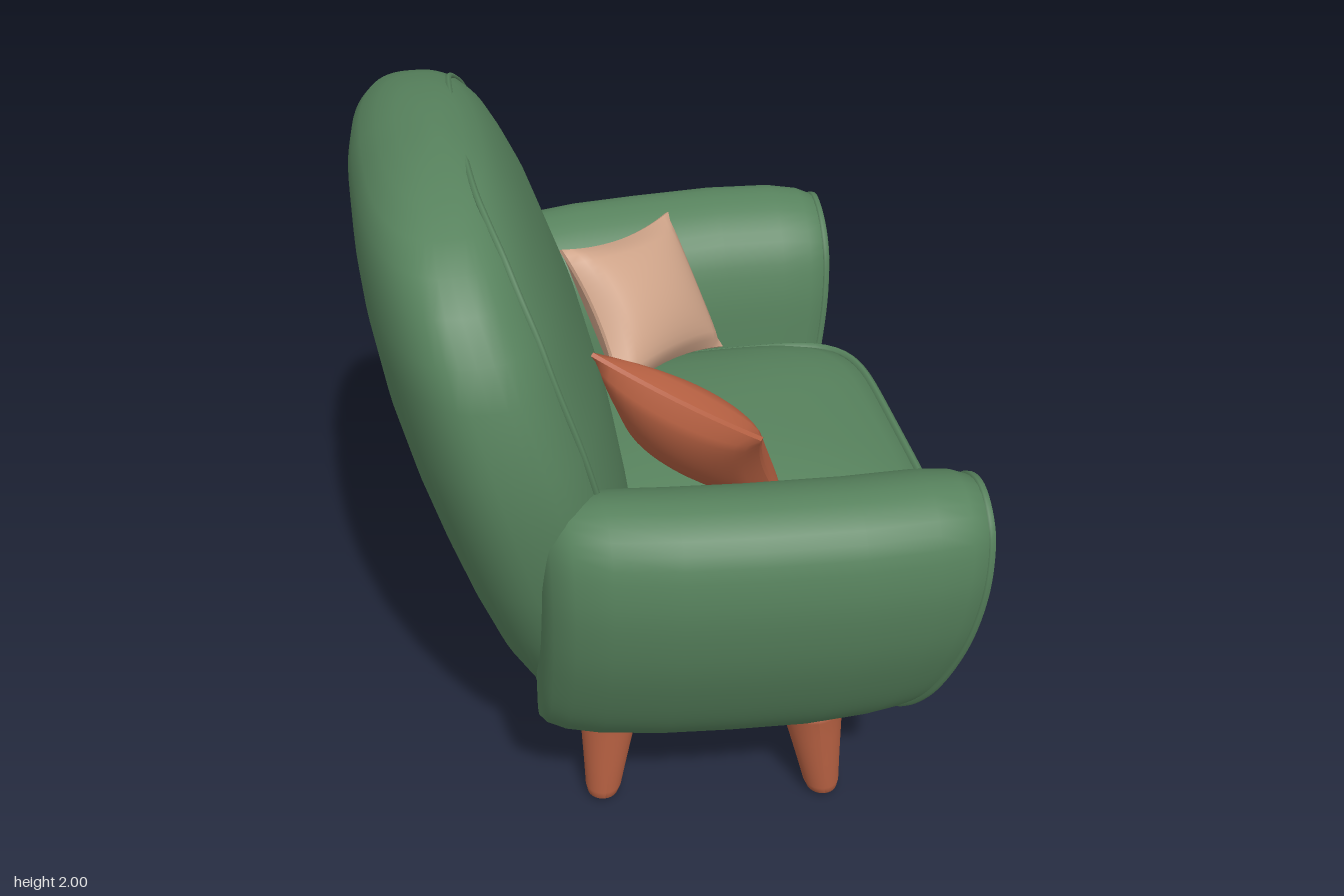
import * as THREE from 'three';

const V = (x, y, z) => new THREE.Vector3(x, y, z);
const paint = (name, color) => {
  const m = new THREE.MeshStandardMaterial({ color });
  m.name = name;
  return m;
};

// Smooth closed skin through rings of points, capped at both ends
function loft(rings) {
  const n = rings[0].length, pts = rings.flat(), idx = [];
  const cap = (ring) => pts.push(ring.reduce((s, p) => s.add(p), V(0, 0, 0)).divideScalar(n)) - 1;
  const last = rings.length - 1, a = cap(rings[0]), b = cap(rings[last]);
  for (let j = 0; j < n; j++) {
    const k = (j + 1) % n;
    for (let i = 0; i < last; i++) {
      const p = i * n + j, q = i * n + k;
      idx.push(p, p + n, q, q, p + n, q + n);
    }
    idx.push(a, j, k, b, last * n + k, last * n + j);
  }
  // Turn the faces outward whichever way the rings run
  let volume = 0;
  for (let i = 0; i < idx.length; i += 3) {
    volume += pts[idx[i]].dot(V(0, 0, 0).crossVectors(pts[idx[i + 1]], pts[idx[i + 2]]));
  }
  if (volume < 0) idx.reverse();
  const g = new THREE.BufferGeometry().setFromPoints(pts);
  g.setIndex(idx);
  g.computeVertexNormals();
  return g;
}

// Horizontal rounded ring spanning x0..x1 and -hz..hz
function ring(y, x0, x1, hz, power, n = 64) {
  const soft = (v) => Math.sign(v) * Math.abs(v) ** (2 / power);
  return Array.from({ length: n }, (_, i) => {
    const t = (i / n) * Math.PI * 2;
    return V((x0 + x1) / 2 + (x1 - x0) / 2 * soft(Math.cos(t)), y, hz * soft(Math.sin(t)));
  });
}

const tube = (pts, radius, closed) =>
  new THREE.TubeGeometry(new THREE.CatmullRomCurve3(pts, closed), 120, radius, 6, closed);

export function createModel() {
  const group = new THREE.Group();
  const green = paint('green fabric', 0x57825d);
  const rust = paint('terracotta', 0xb45f41);
  const tan = paint('tan fabric', 0xd0a58a);
  const add = (name, geometry, material) => {
    const mesh = new THREE.Mesh(geometry, material);
    mesh.name = name;
    group.add(mesh);
  };

  // Leaning rounded backrest: y, rear x, front x, half width
  const backRings = [
    [0.33, -0.38, 0.0, 0.38], [0.36, -0.43, 0.0, 0.43], [0.45, -0.48, -0.02, 0.52],
    [0.6, -0.54, -0.05, 0.62], [0.8, -0.605, -0.09, 0.71], [1.0, -0.665, -0.12, 0.77],
    [1.2, -0.72, -0.155, 0.805], [1.4, -0.765, -0.205, 0.82], [1.6, -0.795, -0.275, 0.79],
    [1.7, -0.803, -0.31, 0.75], [1.8, -0.803, -0.355, 0.685], [1.87, -0.79, -0.39, 0.61],
    [1.92, -0.765, -0.425, 0.52], [1.96, -0.72, -0.46, 0.4], [1.985, -0.67, -0.505, 0.27],
    [1.998, -0.61, -0.55, 0.12],
  ].map(([y, x0, x1, hz]) => ring(y, x0, x1, hz, 2.6));
  add('backrest', loft(backRings), green);
  // Seam following the front edge of the backrest
  const rim = backRings.slice(4, 14);
  add('backrestSeam', tube([...rim.map((r) => r[10]), ...rim.map((r) => r[54]).reverse()], 0.009, false), green);

  // Seat base
  add('seatBase', loft([
    [0.305, -0.3, 0.42, 0.42], [0.315, -0.36, 0.54, 0.5], [0.35, -0.4, 0.62, 0.55],
    [0.42, -0.42, 0.67, 0.575], [0.5, -0.42, 0.692, 0.575], [0.55, -0.42, 0.688, 0.57],
    [0.58, -0.4, 0.66, 0.55], [0.59, -0.36, 0.6, 0.5],
  ].map(([y, x0, x1, hz]) => ring(y, x0, x1, hz, 7)), ), green);

  // Crowned seat cushion with piping
  add('seatCushion', loft([
    [0.595, -0.3, 0.68, 0.48], [0.605, -0.34, 0.735, 0.535], [0.64, -0.35, 0.757, 0.555],
    [0.75, -0.35, 0.768, 0.56], [0.84, -0.35, 0.76, 0.555], [0.88, -0.35, 0.735, 0.54],
    [0.915, -0.33, 0.68, 0.5], [0.95, -0.3, 0.59, 0.43], [0.98, -0.25, 0.47, 0.33],
    [1.0, -0.15, 0.33, 0.2], [1.005, -0.05, 0.2, 0.08],
  ].map(([y, x0, x1, hz]) => ring(y, x0, x1, hz, 6 - 3 * Math.max(0, (y - 0.85) / 0.16)))), green);
  add('cushionPipingTop', tube(ring(0.875, -0.35, 0.745, 0.545, 6), 0.014, true), green);
  add('cushionPipingBottom', tube(ring(0.62, -0.35, 0.75, 0.548, 6), 0.014, true), green);

  // Arms: one outline swept from back to front, inset toward the ends
  const outline = new THREE.CatmullRomCurve3([
    [0.52, 0.335], [0.64, 0.365], [0.8, 0.52], [0.92, 0.74], [0.98, 0.92], [1.0, 1.1], [0.965, 1.235],
    [0.86, 1.3], [0.74, 1.275], [0.645, 1.19], [0.595, 1.05], [0.57, 0.8], [0.54, 0.55],
  ].map(([z, y]) => V(0, y, z)), true).getSpacedPoints(64).slice(0, 64);
  const armRing = (side, x, inset, shift) => outline.map((p) => {
    const y = 0.83 + (p.y - 0.83) * (1 - inset / 0.48);
    const z = 0.77 + (p.z - 0.77) * (1 - inset / 0.22) + shift;
    const lean = 0.12 * Math.max(0, (1.2 - y) / 0.85) ** 2 * Math.max(0, x / 0.7);
    return V(x - lean, y, z * side);
  });
  for (const side of [1, -1]) {
    const name = side > 0 ? 'left' : 'right';
    add(name + 'Arm', loft([
      [-0.43, 0.12, -0.1], [-0.41, 0.06, -0.1], [-0.36, 0.025, -0.085], [-0.27, 0.005, -0.065],
      [-0.1, 0, -0.035], [0.1, 0, -0.015], [0.35, 0, 0], [0.54, 0.004, -0.005], [0.63, 0.017, -0.01],
      [0.68, 0.038, -0.01], [0.702, 0.07, -0.01], [0.708, 0.12, -0.01],
    ].map((s) => armRing(side, ...s))), green);
    add(name + 'ArmSeam', tube(armRing(side, 0.683, 0.043, -0.01), 0.013, true), green);
  }

  // Splayed tapered legs with rounded feet
  const legProfile = [[0, 0], [0.03, 0.003], [0.045, 0.015], [0.053, 0.04], [0.066, 0.14],
    [0.08, 0.24], [0.09, 0.31], [0.1, 0.345], [0, 0.36]].map(([r, y]) => new THREE.Vector2(r, y));
  for (const side of [1, -1]) {
    for (const [name, x, z, dx, dz] of [['frontLeg', 0.412, 0.55, -0.13, -0.1], ['backLeg', -0.238, 0.455, 0.11, -0.18]]) {
      const g = new THREE.LatheGeometry(legProfile, 28);
      const p = g.attributes.position;
      for (let i = 0; i < p.count; i++) {
        const y = p.getY(i);
        p.setXYZ(i, p.getX(i) + x + dx * y, y, p.getZ(i) + (z + dz * y) * side);
      }
      g.computeVertexNormals();
      add((side > 0 ? 'left' : 'right') + name, g, rust);
    }
  }

  // Throw pillows: pinched squares, puffed in the middle
  const pillow = (side) => {
    const g = new THREE.BoxGeometry(2, 2, 2, 18, 18, 1);
    const p = g.attributes.position;
    for (let i = 0; i < p.count; i++) {
      const s = p.getX(i), t = p.getY(i);
      const puff = 0.006 + 0.1 * Math.sqrt(Math.max(0, (1 - s * s) * (1 - t * t)));
      p.setXYZ(i, s * (1 - 0.13 * (1 - t * t)), t * (1 - 0.13 * (1 - s * s)), Math.sign(p.getZ(i)) * puff);
    }
    const u = V(0.19, -0.043, 0.172 * side), v = V(-0.068, 0.188, 0.105 * side);
    const n = V(0, 0, 0).crossVectors(u, v).normalize();
    g.applyMatrix4(new THREE.Matrix4().makeBasis(u, v, n).setPosition(0.038, 1.2, 0.36 * side));
    g.computeVertexNormals();
    return g;
  };
  add('leftPillow', pillow(1), rust);
  add('rightPillow', pillow(-1), tan);

  return group;
}
